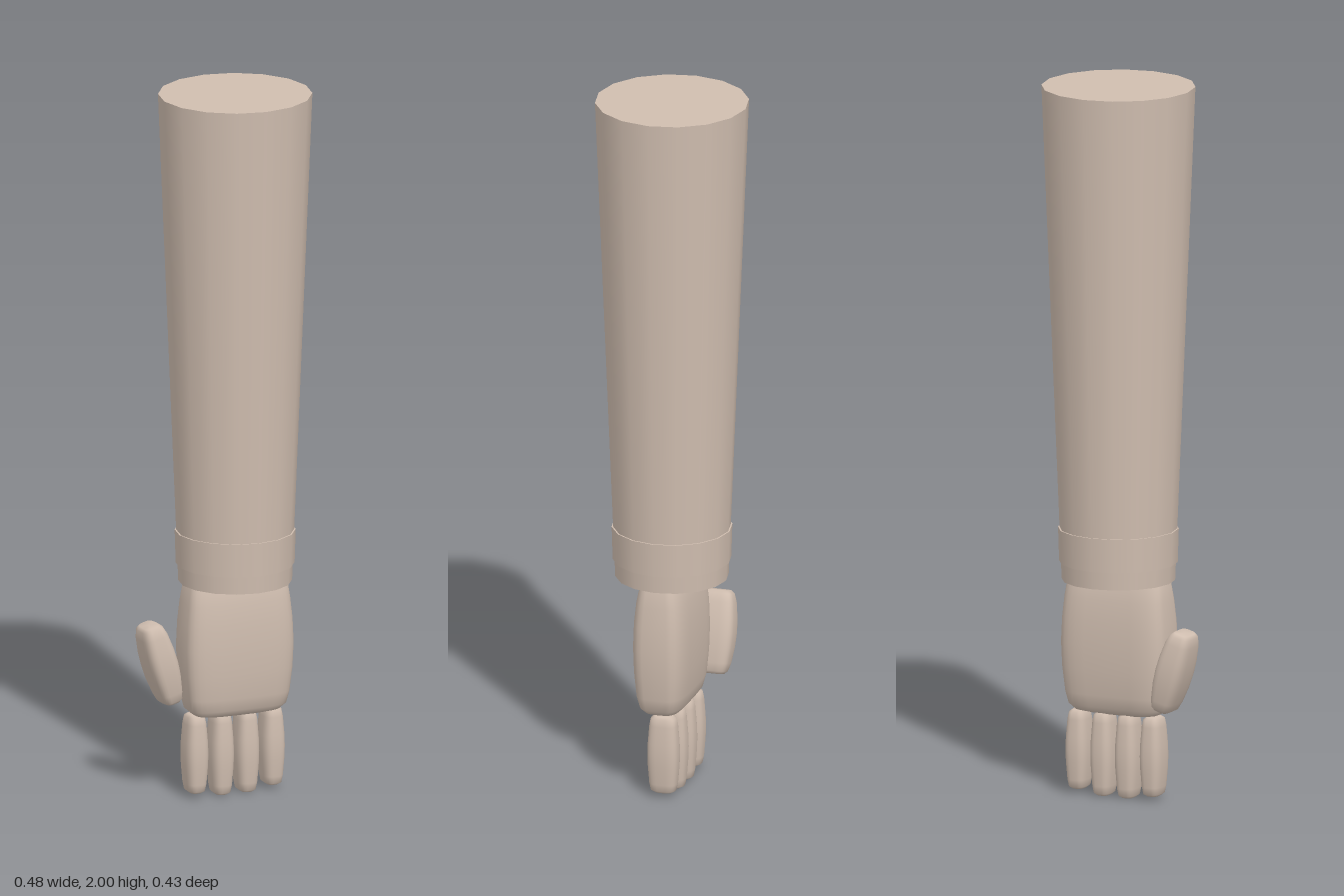
import * as THREE from 'three';

// Closed smooth loft of rounded-rectangle sections [y, half width x, half depth z], bottom to top
function loft(sections, power = 3, n = 32) {
  const pos = [], idx = [];
  const first = sections[0], last = sections[sections.length - 1];
  const rings = [[first[0], 0, 0], ...sections, [last[0], 0, 0]];
  const bend = (v) => Math.sign(v) * Math.pow(Math.abs(v), 2 / power);
  for (const [y, hx, hz] of rings) {
    for (let j = 0; j < n; j++) {
      const a = (j / n) * Math.PI * 2;
      pos.push(hx * bend(Math.cos(a)), y, hz * bend(Math.sin(a)));
    }
  }
  for (let i = 0; i < rings.length - 1; i++) {
    for (let j = 0; j < n; j++) {
      const a = i * n + j, b = i * n + ((j + 1) % n);
      const c = a + n, d = b + n;
      idx.push(a, c, b, b, c, d);
    }
  }
  const g = new THREE.BufferGeometry();
  g.setAttribute('position', new THREE.Float32BufferAttribute(pos, 3));
  g.setIndex(idx);
  g.computeVertexNormals();
  return g;
}

export function createModel() {
  const model = new THREE.Group();
  const skin = new THREE.MeshStandardMaterial({ color: 0xcfbdaf });
  skin.name = 'warm beige';

  const add = (name, geometry, x, y, z) => {
    const mesh = new THREE.Mesh(geometry, skin);
    mesh.name = name;
    mesh.position.set(x, y, z);
    model.add(mesh);
    return mesh;
  };

  // Tapered forearm and the cuff around its wrist end
  add('forearm', new THREE.CylinderGeometry(0.213, 0.157, 1.39, 16), 0.027, 1.305, 0);
  add('cuff', new THREE.CylinderGeometry(0.167, 0.164, 0.095, 16), 0.027, 0.7075, 0);

  // Flat rounded palm
  add('palm', loft([
    [0.233, 0.09, 0.035],
    [0.239, 0.125, 0.05],
    [0.255, 0.143, 0.062],
    [0.29, 0.151, 0.071],
    [0.36, 0.159, 0.077],
    [0.43, 0.162, 0.079],
    [0.5, 0.159, 0.077],
    [0.56, 0.153, 0.071],
    [0.61, 0.146, 0.061],
    [0.63, 0.135, 0.05],
  ], 4), 0.025, 0, 0.002);

  // Four fingers, the outer two a little shorter
  [-0.09, -0.013, 0.063, 0.14].forEach((x, i) => {
    const outer = i === 0 || i === 3;
    const low = outer ? 0.014 : 0.002;
    const len = 0.237 - low;
    const finger = loft([
      [0, 0.016, 0.024],
      [0.03, 0.024, 0.035],
      [0.12, 0.028, 0.039],
      [0.35, 0.032, 0.043],
      [0.5, 0.033, 0.044],
      [0.65, 0.032, 0.043],
      [0.88, 0.028, 0.039],
      [0.97, 0.024, 0.035],
      [1, 0.016, 0.024],
    ].map(([t, hx, hz]) => [t * len, hx, hz]), 3);
    add('finger' + (i + 1), finger, x, low, -0.013);
  });

  // Thumb, leaning outwards beside the palm
  const thumb = add('thumb', loft([
    [-0.116, 0.02, 0.036],
    [-0.108, 0.029, 0.045],
    [-0.085, 0.035, 0.052],
    [-0.04, 0.041, 0.058],
    [0, 0.043, 0.06],
    [0.04, 0.042, 0.058],
    [0.085, 0.037, 0.052],
    [0.108, 0.03, 0.045],
    [0.116, 0.021, 0.036],
  ], 3.5), -0.176, 0.38, -0.057);
  thumb.rotation.z = 0.28;

  return model;
}
